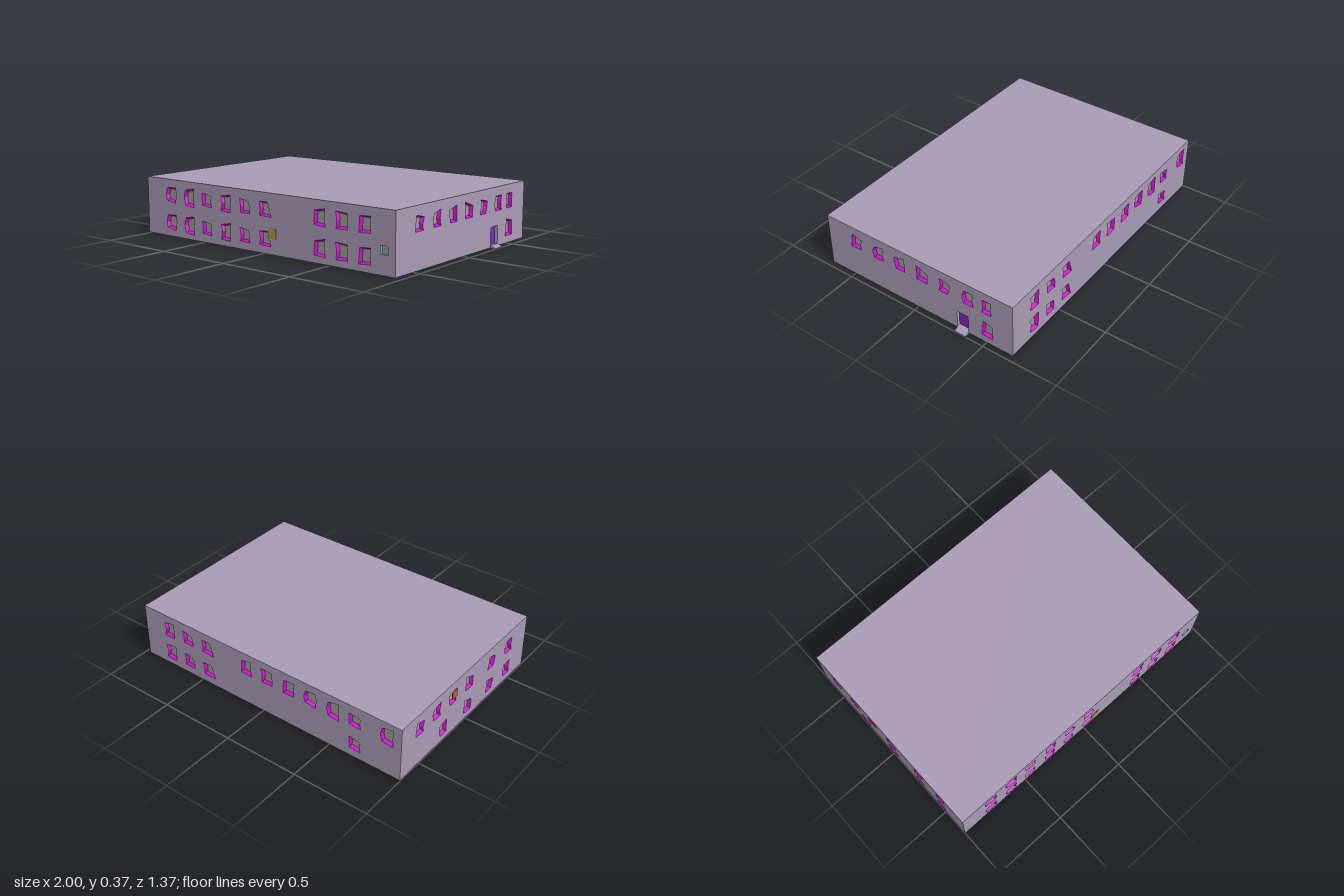
import * as THREE from 'three';

const mat = (color, side = THREE.FrontSide) => new THREE.MeshStandardMaterial({ color, side, flatShading: true });
const WALL = 0xa99bb5, MAGENTA = 0xd010d0, GLASS = 0x9c9c98, PURPLE = 0x7a28b8, GOLD = 0xba963f, TEAL = 0x62b4b4, ORANGE = 0xc85a28;
const X0 = -1, X1 = 0.965, Z0 = -0.685, Z1 = 0.68, Y0 = 0.005, Y1 = 0.37;

// crooked window outlines, in hundredths around the window centre
const FRONT = [
  [-4, -3.5, 3.5, -5, 4.3, 0, 4, 5, -3.5, 4.5, -4.8, 0],
  [-3, -5, 4.5, -6, 4, 0, 4.5, 6, -3, 4.5, -4.2, 0],
  [-4, -3.5, 4, -4.2, 3, 0, 4, 2.7, -4, 4.3],
  [-3.8, -5, 4, -5.5, 4, 5.5, -4, 4, -2.6, 0],
  [-3.5, -4, 4, -4.2, 4, 0, 3, 3, -4, 4.3, -3.2, 0],
  [-3.8, -4, 5.3, -4.5, 2.5, 4.5, -4, 4.3, -3.2, 0],
  [-4, -4.5, 4.4, -5, 3.2, 0, 4, 5.4, -3.5, 4],
  [-4, -5, 4, -4.6, 4, 4.5, -4.4, 5, -3.4, 0],
  [-4.2, -5, 4, -4.5, 3.6, 0, 4, 5, -3.5, 4.4],
];
const SIDE = [
  [-4, -4.5, 3.5, -4.5, 3, -1, 4.3, 3, -3, 4.8],
  [-3, -4.5, 4, -4.5, 3, 0, 4, 5, -2.5, 3.5, -4, 0],
  [-2.5, -4.5, 4, -4.5, 3.5, 5, -4, 3],
  [-4, -4.5, 3.7, -4.5, 4, 2.5, -4, 5.5, -3.5, 0],
  [-3.6, -4.5, 2.6, -4.5, 4, 0, 4, 3, -3, 4.6, -2.4, 0],
  [-3, -4.5, 4, -4.5, 3, 0, 4, 4.6, -2.5, 4.6, -4, 0],
  [-3.2, -4.5, 3.2, -4.5, 3, 0, 3.2, 4.6, -3, 4.6, -2.4, 0],
  [-4, -5, 4, -5, 3.6, 4, -2.6, 5.6],
];
const windowAt = (u, y, s) => {
  const pts = [];
  for (let i = 0; i < s.length; i += 2) pts.push([u + s[i] / 100, y + s[i + 1] / 100]);
  return { name: 'window', u, y, pts, inner: 0.76, rim: MAGENTA, pane: GLASS };
};
const opening = (name, u, y, w, h, rim, pane) => ({
  name, u, y, rim, pane, inner: 1,
  pts: [[u - w / 2, y - h / 2], [u + w / 2, y - h / 2], [u + w / 2, y + h / 2], [u - w / 2, y + h / 2]],
});

function add(group, name, geometry, color, side) {
  const m = new THREE.Mesh(geometry, mat(color, side));
  m.name = name;
  group.add(m);
  return m;
}

// recessed opening: sloping reveal around a set-back pane
function addOpening(group, o, depth = 0.02) {
  const back = o.pts.map(([x, y]) => [o.u + (x - o.u) * o.inner, o.y + (y - o.y) * o.inner]);
  const n = o.pts.length, pos = [], idx = [];
  for (let i = 0; i < n; i++) {
    const a = i * 2, b = ((i + 1) % n) * 2;
    pos.push(...o.pts[i], 0, ...back[i], -depth);
    idx.push(a, b, b + 1, a, b + 1, a + 1);
  }
  const g = new THREE.BufferGeometry();
  g.setAttribute('position', new THREE.Float32BufferAttribute(pos, 3));
  g.setIndex(idx);
  g.computeVertexNormals();
  add(group, o.name + 'Reveal', g, o.rim, THREE.DoubleSide);
  const pane = new THREE.Shape(back.map(p => new THREE.Vector2(...p)));
  add(group, o.name + 'Pane', new THREE.ShapeGeometry(pane), o.pane).position.z = -depth;
}

// wall seen from outside: u runs to the viewer's right
function makeWall(name, u0, u1, openings) {
  const g = new THREE.Group();
  g.name = name;
  const s = new THREE.Shape([[u0, Y0], [u1, Y0], [u1, Y1], [u0, Y1]].map(p => new THREE.Vector2(...p)));
  for (const o of openings) {
    s.holes.push(new THREE.Path([...o.pts, o.pts[0]].map(p => new THREE.Vector2(...p))));
    addOpening(g, o);
  }
  add(g, name + 'Skin', new THREE.ShapeGeometry(s), WALL);
  return g;
}

function panel(wall, name, u, y, w, h, color) {
  add(wall, name, new THREE.BoxGeometry(w, h, 0.006), color).position.set(u, y, 0);
}

export function createModel() {
  const model = new THREE.Group();
  model.name = 'building';
  const midX = (X0 + X1) / 2, midZ = (Z0 + Z1) / 2, W = X1 - X0, D = Z1 - Z0;

  // front: two matching rows of nine windows
  const columns = [-0.78, -0.62, -0.46, -0.3, -0.14, 0.02, 0.44, 0.6, 0.76];
  const frontOpenings = [0.27, 0.095].flatMap(y => columns.map((u, i) => windowAt(u, y, FRONT[i])));
  frontOpenings.push(opening('vent', 0.89, 0.145, 0.05, 0.05, TEAL, GLASS));
  const front = makeWall('frontWall', X0, X1, frontOpenings);
  panel(front, 'goldPanel', 0.083, 0.13, 0.055, 0.06, GOLD);
  front.position.z = Z1;

  // side with the door
  const sideU = [-0.458, -0.289, -0.125, 0.044, 0.205, 0.374, 0.505];
  const doorSide = makeWall('doorWall', -Z1, -Z0, [
    ...sideU.map((u, i) => windowAt(u, 0.268, SIDE[i])),
    windowAt(0.508, 0.1, SIDE[7]),
    opening('door', 0.335, 0.073, 0.08, 0.114, WALL, PURPLE),
  ]);
  doorSide.rotation.y = Math.PI / 2;
  doorSide.position.x = X1;

  // back
  const backU = [-0.76, -0.6, -0.44, -0.12, 0.04, 0.205, 0.367, 0.527, 0.685];
  const back = makeWall('backWall', -X1, -X0, [
    ...backU.map((u, i) => windowAt(u, 0.27, FRONT[(i + 3) % 9])),
    windowAt(0.9, 0.275, FRONT[1]),
    ...[0, 1, 2, 8].map(i => windowAt(backU[i], 0.1, FRONT[(i + 3) % 9])),
  ]);
  back.rotation.y = Math.PI;
  back.position.z = Z0;

  // plain side
  const plain = makeWall('plainWall', Z0, Z1, [
    ...[-0.505, -0.335, -0.17, 0.014, 0.263, 0.466].map((u, i) => windowAt(u, 0.265, SIDE[i])),
    ...[-0.256, 0.014, 0.263, 0.466].map((u, i) => windowAt(u, 0.092, SIDE[i + 2])),
  ]);
  panel(plain, 'orangePanel', -0.15, 0.28, 0.05, 0.055, ORANGE);
  plain.rotation.y = -Math.PI / 2;
  plain.position.x = X0;
  model.add(front, doorSide, back, plain);

  // roof and underside
  const roof = add(model, 'roof', new THREE.PlaneGeometry(W, D), WALL);
  roof.rotation.x = -Math.PI / 2;
  roof.position.set(midX, Y1, midZ);
  const base = add(model, 'base', new THREE.PlaneGeometry(W, D), WALL);
  base.rotation.x = Math.PI / 2;
  base.position.set(midX, Y0, midZ);

  // three floor slabs showing underneath
  const slab = (name, x0, x1, z0, z1, color) =>
    add(model, name, new THREE.BoxGeometry(x1 - x0, 0.008, z1 - z0), color)
      .position.set((x0 + x1) / 2, 0.004, (z0 + z1) / 2);
  const r = 0.015;
  slab('backFloor', X0 + r, X1 - r, Z0 + r, -0.19, PURPLE);
  slab('leftFloor', 0.16, X1 - r, -0.178, Z1 - r, TEAL);
  slab('rightFloor', X0 + r, 0.148, -0.178, Z1 - r, GOLD);

  // sloping door step
  const wedge = new THREE.Shape([[X1, 0], [1, 0], [1, 0.005], [X1, 0.018]].map(p => new THREE.Vector2(...p)));
  const step = add(model, 'doorStep', new THREE.ExtrudeGeometry(wedge, { depth: 0.08, bevelEnabled: false }), WALL);
  step.position.z = -0.378;
  return model;
}
